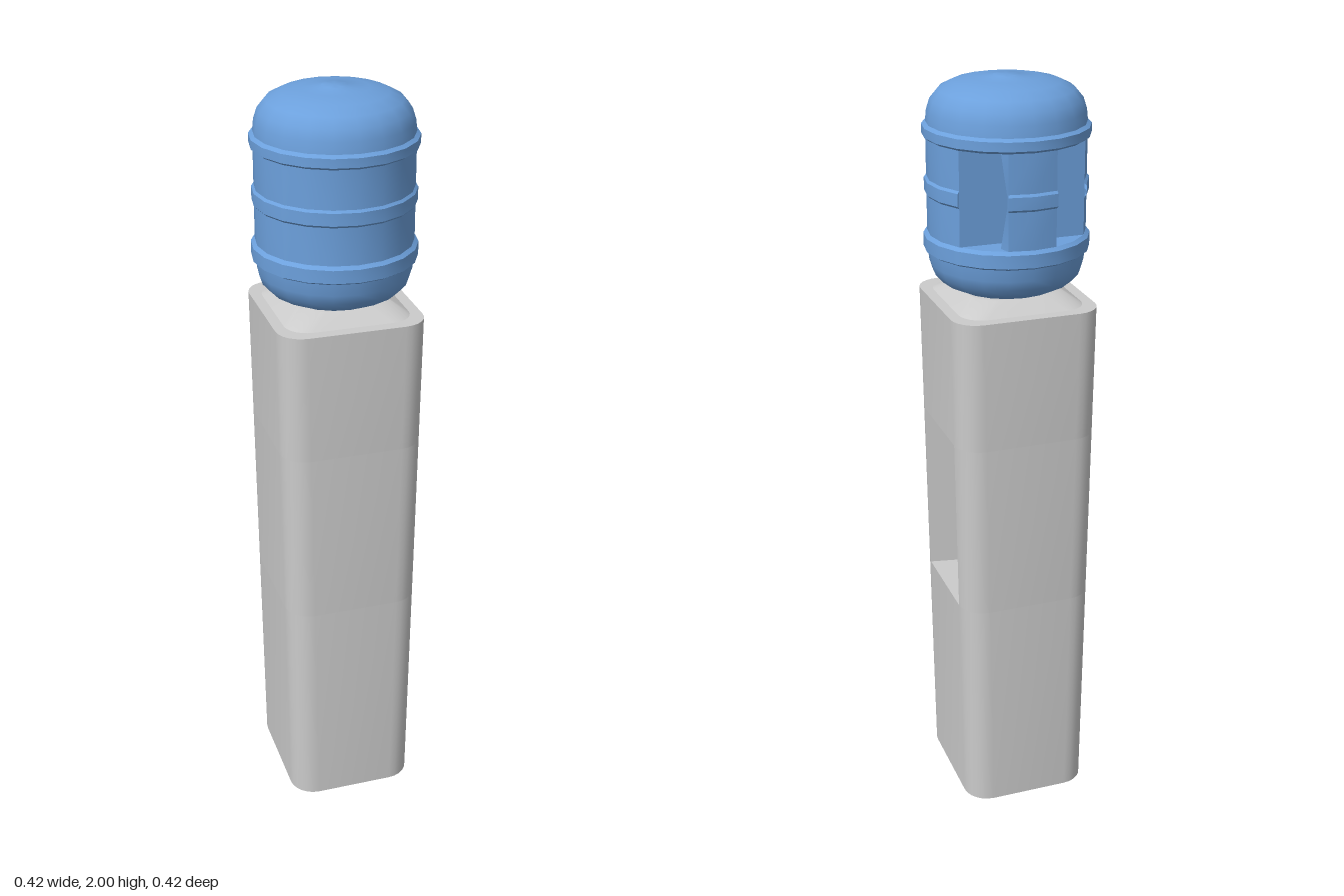
import * as THREE from 'three';
import { toCreasedNormals } from 'three/addons/utils/BufferGeometryUtils.js';

const grey = new THREE.MeshStandardMaterial({ color: 0xcccccc, side: THREE.DoubleSide });
const blue = new THREE.MeshStandardMaterial({ color: 0x6ca0dc, side: THREE.DoubleSide });
const black = new THREE.MeshStandardMaterial({ color: 0x1a1a1a });

// Skins loops of [x, y, z] points, with optional fan caps on convex end loops.
function loft(loops, { closed = true, bottom = false, top = false } = {}) {
  const pos = [];
  const tri = (a, b, c) => pos.push(...a, ...b, ...c);
  for (let i = 0; i + 1 < loops.length; i++) {
    const lo = loops[i], hi = loops[i + 1], n = lo.length;
    for (let j = 0; j < (closed ? n : n - 1); j++) {
      const k = (j + 1) % n;
      tri(lo[j], lo[k], hi[k]);
      tri(lo[j], hi[k], hi[j]);
    }
  }
  const cap = (loop, up) => {
    for (let j = 1; j + 1 < loop.length; j++) {
      if (up) tri(loop[0], loop[j], loop[j + 1]);
      else tri(loop[0], loop[j + 1], loop[j]);
    }
  };
  if (bottom) cap(loops[0], false);
  if (top) cap(loops[loops.length - 1], true);
  const g = new THREE.BufferGeometry();
  g.setAttribute('position', new THREE.Float32BufferAttribute(pos, 3));
  return toCreasedNormals(g, 0.5);
}

// Rounded rectangle at height y, starting at the front end of the +x face.
function roundedLoop(hx, hz, r, y, steps = 6) {
  const pts = [];
  const corners = [[1, -1], [-1, -1], [-1, 1], [1, 1]];
  corners.forEach(([sx, sz], c) => {
    for (let i = 0; i <= steps; i++) {
      const a = (c + i / steps) * Math.PI / 2;
      pts.push([sx * (hx - r) + r * Math.cos(a), y, sz * (hz - r) - r * Math.sin(a)]);
    }
  });
  return pts;
}

function add(parent, name, geometry, material) {
  const m = new THREE.Mesh(geometry, material);
  m.name = name;
  parent.add(m);
  return m;
}

export function createModel() {
  const model = new THREE.Group();
  model.name = 'waterCooler';

  // Cabinet: tapers in x only, with a dispensing niche in the +x face
  const cabinet = new THREE.Group();
  cabinet.name = 'cabinet';
  model.add(cabinet);
  const H = 1.43, HZ = 0.197, Y0 = 0.61, Y1 = 1.085;
  const halfX = y => 0.173 + 0.021 * y / H;
  const section = y => roundedLoop(halfX(y), HZ, 0.067, y);
  const nicheLine = y => [
    [halfX(y), y, 0.13], [0.05, y, 0.105], [0.05, y, -0.1], [halfX(y), y, -0.13],
  ];
  add(cabinet, 'lowerCabinet', loft([section(0), section(Y0)], { bottom: true }), grey);
  add(cabinet, 'middleCabinet', loft([section(Y0), section(Y1)], { closed: false }), grey);
  add(cabinet, 'upperCabinet', loft([section(Y1), section(H)], { top: true }), grey);
  add(cabinet, 'nicheWalls', loft([nicheLine(Y0), nicheLine(Y1)], { closed: false }), grey);
  add(cabinet, 'nicheFloor', loft([nicheLine(Y0)], { bottom: true }), grey);
  add(cabinet, 'nicheCeiling', loft([nicheLine(Y1)], { top: true }), grey);

  // Sloping collar that carries the bottle
  add(model, 'collar', loft([
    roundedLoop(0.165, 0.165, 0.06, H), roundedLoop(0.118, 0.118, 0.06, 1.462),
  ], { top: true }), grey);

  // Two taps hanging from the niche ceiling
  for (const z of [0.07, -0.065]) {
    const tap = new THREE.Group();
    tap.name = 'tap';
    tap.position.set(0.12, 0, z);
    add(tap, 'tapBody', new THREE.BoxGeometry(0.08, 0.028, 0.06), black).position.y = Y1 - 0.014;
    add(tap, 'tapNozzle', new THREE.CylinderGeometry(0.022, 0.016, 0.022, 12), black).position.y = Y1 - 0.037;
    model.add(tap);
  }

  // Bottle: 20-sided, cut away at the back around a grip
  const bottle = new THREE.Group();
  bottle.name = 'bottle';
  model.add(bottle);
  const R = 0.202, B0 = 1.61, B1 = 1.85, step = Math.PI / 10;
  const lathe = (pts, segs = 20, start = 0) => toCreasedNormals(new THREE.LatheGeometry(
    pts.map(p => new THREE.Vector2(...p)), segs, start, segs * step), 0.55);
  add(bottle, 'bottleShoulder', lathe([
    [0.115, 1.46], [0.135, 1.466], [0.17, 1.483], [0.19, 1.505], [0.198, 1.53], [R, 1.562],
    [0.212, 1.568], [0.212, 1.602], [R, B0],
  ]), blue);
  add(bottle, 'bottleTop', lathe([
    [R, B1], [0.212, 1.857], [0.212, 1.88], [R, 1.887], [0.199, 1.915], [0.19, 1.943],
    [0.17, 1.967], [0.135, 1.984], [0.085, 1.994], [0.034, 1.999], [0.032, 2], [0, 2],
  ]), blue);
  add(bottle, 'bottleBody', lathe([
    [R, B0], [R, 1.707], [0.208, 1.713], [0.208, 1.745], [R, 1.751], [R, B1],
  ], 14, Math.PI + 3 * step), blue);

  // Recess behind the grip: flat wall, floor and ceiling
  const arc = y => Array.from({ length: 7 }, (_, i) => {
    const a = (i - 3) * step;
    return [-R * Math.sin(a), y, -R * Math.cos(a)];
  }).reverse();
  const ends = y => [arc(y)[0], arc(y)[6]];
  add(bottle, 'recessWall', loft([ends(B0), ends(B1)], { closed: false }), blue);
  add(bottle, 'recessFloor', loft([arc(B0)], { top: true }), blue);
  add(bottle, 'recessCeiling', loft([arc(B1)], { bottom: true }), blue);

  // Grip: upright bar that is thinner at mid height, with the belt crossing it
  const gripLoop = (y, r, inner, w) => [
    [r * Math.sin(step), y, -r * Math.cos(step)], [0, y, -r],
    [-r * Math.sin(step), y, -r * Math.cos(step)], [-w, y, inner], [w, y, inner],
  ];
  add(bottle, 'grip', loft([
    gripLoop(B0, R, -0.163, 0.072), gripLoop(1.707, R, -0.178, 0.062),
    gripLoop(1.713, 0.208, -0.179, 0.061), gripLoop(1.745, 0.208, -0.179, 0.061),
    gripLoop(1.751, R, -0.178, 0.062), gripLoop(B1, R, -0.163, 0.072),
  ]), blue);

  return model;
}
